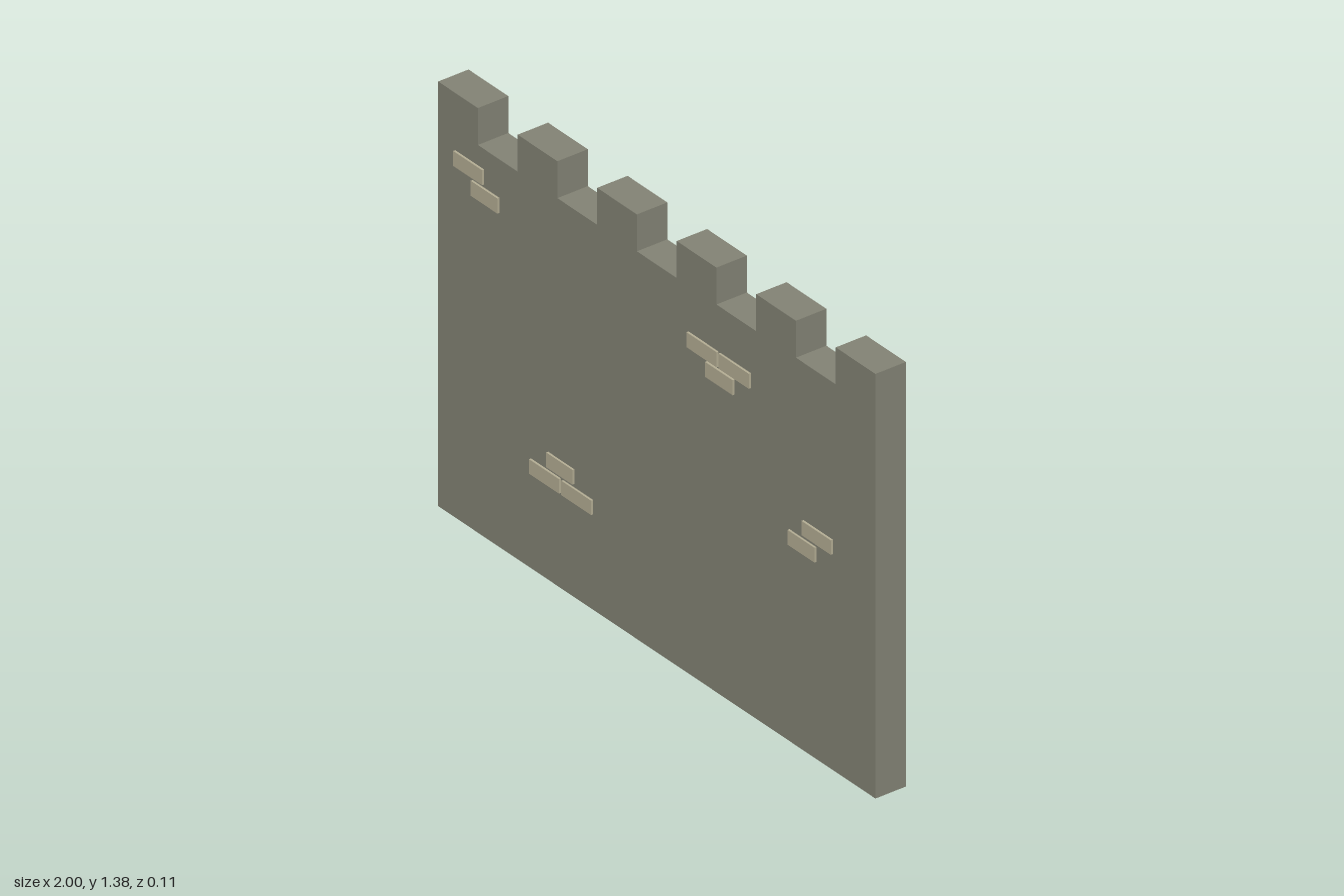
import * as THREE from 'three';

const BACK = -0.057, FRONT = 0.05, BRICK_FRONT = 0.057;
const NOTCH_Y = 1.26, TOP_Y = 1.38, TEETH = 6;

const stone = new THREE.MeshStandardMaterial({ color: 0x838375, side: THREE.DoubleSide });
stone.name = 'grey stone';
const paleStone = new THREE.MeshStandardMaterial({ color: 0xb4ae94 });
paleStone.name = 'pale brick';

// Battlement outline, counter-clockwise, starting and ending at the foot
function wallOutline() {
  const step = 2 / (TEETH * 2 - 1);
  const pts = [new THREE.Vector2(-1, 0), new THREE.Vector2(1, 0)];
  for (let i = 0; i < TEETH * 2 - 1; i++) {
    const y = i % 2 === 0 ? TOP_Y : NOTCH_Y;
    pts.push(new THREE.Vector2(1 - i * step, y), new THREE.Vector2(1 - (i + 1) * step, y));
  }
  return pts;
}

// Sides and tops joining the two faces; the underside is left open
function wallRim(pts) {
  const pos = [];
  for (let i = 1; i < pts.length; i++) {
    const a = pts[i], b = pts[(i + 1) % pts.length];
    pos.push(a.x, a.y, FRONT, a.x, a.y, BACK, b.x, b.y, BACK);
    pos.push(a.x, a.y, FRONT, b.x, b.y, BACK, b.x, b.y, FRONT);
  }
  const geo = new THREE.BufferGeometry();
  geo.setAttribute('position', new THREE.Float32BufferAttribute(pos, 3));
  geo.computeVertexNormals();
  return geo;
}

// Exposed bricks: left, right, bottom, top
const bricks = [
  [-0.922, -0.79, 1.145, 1.194], [-0.842, -0.72, 1.086, 1.135],
  [0.145, 0.283, 1.063, 1.112], [0.291, 0.43, 1.063, 1.112], [0.23, 0.356, 1.007, 1.056],
  [0.671, 0.805, 0.702, 0.749], [0.607, 0.73, 0.641, 0.689],
  [-0.497, -0.377, 0.368, 0.416], [-0.575, -0.438, 0.31, 0.357], [-0.428, -0.291, 0.31, 0.357],
];

export function createModel() {
  const model = new THREE.Group();
  model.name = 'battlementWall';
  const add = (name, geo, mat) => {
    const mesh = new THREE.Mesh(geo, mat);
    mesh.name = name;
    model.add(mesh);
    return mesh;
  };

  // Wall shell
  const pts = wallOutline();
  const face = new THREE.ShapeGeometry(new THREE.Shape(pts));
  add('wallFront', face, stone).position.z = FRONT;
  // The outline is mirror-symmetric, so the back is the front turned round
  const back = add('wallBack', face, stone);
  back.rotation.y = Math.PI;
  back.position.z = BACK;
  add('wallRim', wallRim(pts), stone);

  // Bricks standing slightly proud of the front
  bricks.forEach(([x0, x1, y0, y1], i) => {
    const geo = new THREE.BoxGeometry(x1 - x0, y1 - y0, BRICK_FRONT - FRONT);
    add(`brick${i + 1}`, geo, paleStone)
      .position.set((x0 + x1) / 2, (y0 + y1) / 2, (FRONT + BRICK_FRONT) / 2);
  });
  return model;
}
